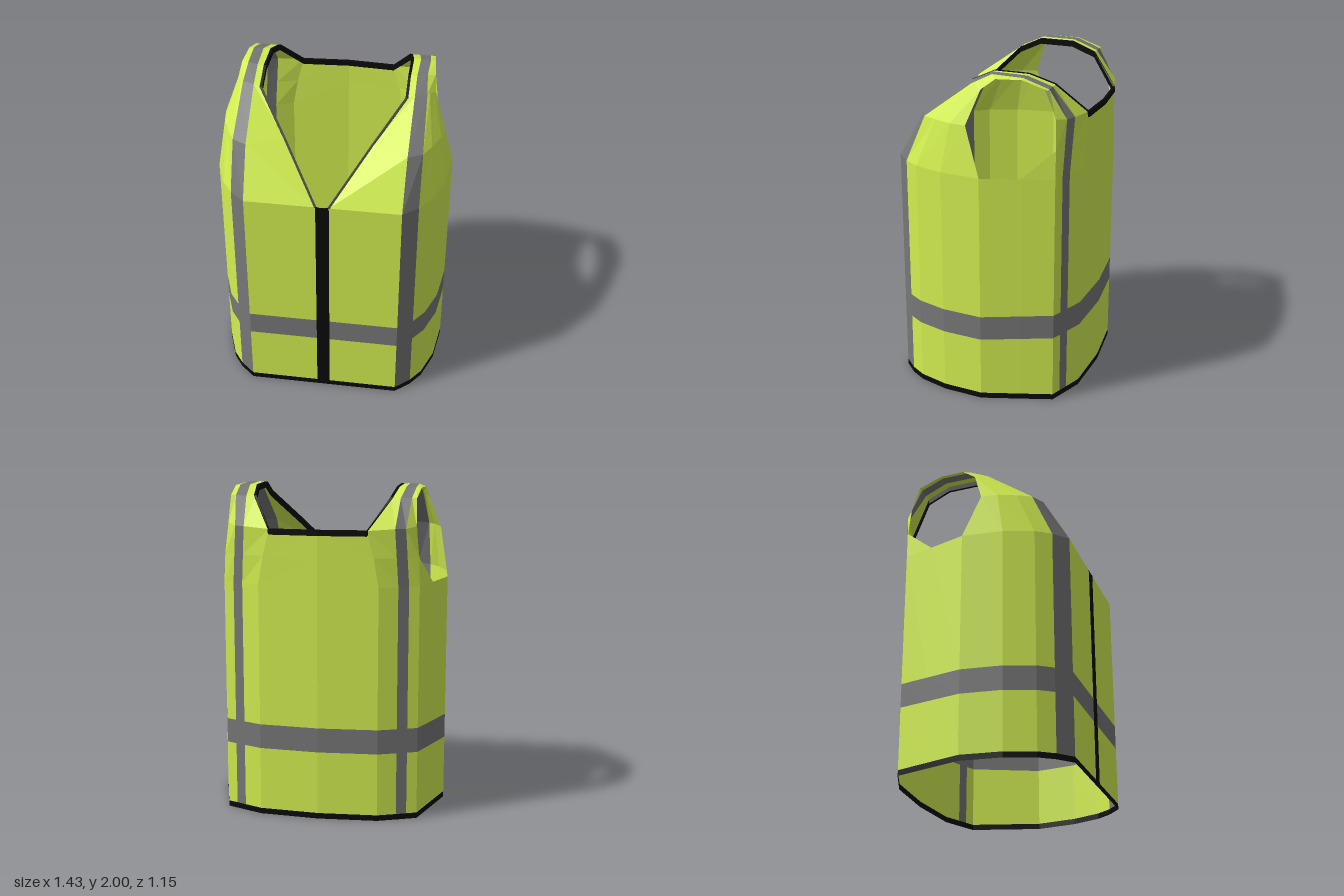
import * as THREE from 'three';

const FABRIC = 0xd2ef50, TAPE = 0x777777, BLACK = 0x0a0a0a;

// Lofts rows of [x, y, z] points into one surface on the left side and its mirror on the right.
// Columns run left to right and rows upward, as seen from outside.
function addSkin(group, name, rows, color) {
  const pos = [];
  const tri = (a, b, c) => {
    pos.push(...a, ...b, ...c);
    for (const [x, y, z] of [a, c, b]) pos.push(-x, y, z);
  };
  for (let r = 0; r < rows.length - 1; r++) {
    for (let c = 0; c < rows[r].length - 1; c++) {
      const a = rows[r][c], b = rows[r][c + 1], d = rows[r + 1][c], e = rows[r + 1][c + 1];
      tri(a, b, e);
      tri(a, e, d);
    }
  }
  const geometry = new THREE.BufferGeometry();
  geometry.setAttribute('position', new THREE.Float32BufferAttribute(pos, 3));
  geometry.computeVertexNormals();
  const material = new THREE.MeshStandardMaterial({ color, flatShading: true, side: THREE.DoubleSide });
  const mesh = new THREE.Mesh(geometry, material);
  mesh.name = name;
  group.add(mesh);
}

// Turns paths (columns) into rows of points
const across = (...paths) => paths[0].map((_, i) => paths.map((p) => p[i]));

export function createModel() {
  const vest = new THREE.Group();
  vest.name = 'safetyVest';

  // Plan outline [x, z] of the left half, from front centre to back centre
  const plan = [
    [0, 0.57], [0.04, 0.57], [0.465, 0.57], [0.555, 0.49], [0.62, 0.4], [0.685, 0.22], [0.715, -0.03],
    [0.647, -0.26], [0.59, -0.45], [0.53, -0.475], [0.47, -0.5], [0.36, -0.545], [0, -0.57],
  ];
  // The waist tape rises a little towards the back
  const lift = ([, z]) => 0.02 * THREE.MathUtils.clamp((-0.03 - z) / 0.42, 0, 1);
  const level = (y, from, to, rising) =>
    plan.slice(from, to + 1).map((p) => [p[0], y + (rising ? lift(p) : 0), p[1]]);

  // Body: hem, lower panels, waist tape and upper panels, split by zip and vertical tapes
  const last = plan.length - 1;
  addSkin(vest, 'hem', [level(0, 0, last), level(0.035, 0, last)], BLACK);
  const sections = [
    ['zip', 0, 1, BLACK], ['frontPanel', 1, 2, FABRIC], ['frontTape', 2, 3, TAPE],
    ['sidePanel', 3, 9, FABRIC], ['backTape', 9, 10, TAPE], ['backPanel', 10, last, FABRIC],
  ];
  for (const [name, from, to, color] of sections) {
    const bandBottom = level(0.4, from, to, true), bandTop = level(0.55, from, to, true);
    addSkin(vest, name + 'Lower', [level(0.035, from, to), bandBottom], color);
    addSkin(vest, name + 'Waist', [bandBottom, bandTop], name === 'zip' ? BLACK : TAPE);
    addSkin(vest, name + 'Upper', [bandTop, level(1.43, from, to)], color);
  }

  // Paths over the shoulder, from the front chest to the back
  const neck = [
    [0.04, 1.43, 0.57], [0.26, 1.72, 0.31], [0.43, 1.93, 0.11], [0.43, 1.996, -0.03], [0.43, 1.993, -0.24],
    [0.41, 1.94, -0.39], [0.29, 1.76, -0.552], [0.33, 1.6, -0.548], [0.36, 1.43, -0.545],
  ];
  const tapeInner = [
    [0.465, 1.43, 0.57], [0.47, 1.72, 0.41], [0.475, 1.94, 0.1], [0.475, 2, -0.03], [0.48, 1.995, -0.24],
    [0.465, 1.94, -0.39], [0.45, 1.77, -0.52], [0.46, 1.6, -0.51], [0.47, 1.43, -0.5],
  ];
  const tapeOuter = [
    [0.555, 1.43, 0.49], [0.555, 1.72, 0.365], [0.545, 1.94, 0.07], [0.535, 2, -0.05], [0.54, 1.995, -0.24],
    [0.53, 1.94, -0.39], [0.51, 1.77, -0.49], [0.52, 1.6, -0.483], [0.53, 1.43, -0.475],
  ];
  const armEdge = [
    [0.59, 1.92, 0], [0.58, 1.985, -0.085], [0.57, 1.99, -0.24],
    [0.56, 1.94, -0.39], [0.565, 1.78, -0.44], [0.585, 1.6, -0.45], [0.59, 1.43, -0.45],
  ];
  addSkin(vest, 'shoulderInner', across(neck, tapeInner), FABRIC);
  addSkin(vest, 'shoulderTape', across(tapeInner, tapeOuter), TAPE);
  addSkin(vest, 'shoulderOuter', across(tapeOuter.slice(2), armEdge), FABRIC);

  // Chest side in front of the armhole
  addSkin(vest, 'chestSide', [
    level(1.43, 3, 6),
    [tapeOuter[1], [0.6, 1.72, 0.28], [0.645, 1.72, 0.17], [0.66, 1.72, 0.07]],
    [tapeOuter[2], [0.56, 1.94, 0.05], [0.575, 1.93, 0.025], armEdge[0]],
  ], FABRIC);

  // Gusset behind the armhole and upper back below the neckline
  addSkin(vest, 'armholeGusset', [[[0.647, 1.43, -0.26], armEdge[6]], [armEdge[5], armEdge[5]]], FABRIC);
  addSkin(vest, 'upperBack', [8, 7, 6].map((i) => [neck[i], [0, neck[i][1], -0.57]]), FABRIC);

  // Black binding: a thin rectangular section swept along the neckline
  const edge = [[0, 1.425, 0.57], ...neck.slice(0, 7), [0, 1.76, -0.57]];
  const binding = edge.map(([x, y, z], i) => {
    const back = i >= edge.length - 2;
    const ox = back || i === 0 ? 0 : 0.008, oz = back ? -0.008 : 0;
    const top = y + 0.003, bottom = y - 0.032;
    return [
      [x - ox, top, z - oz], [x + ox, top, z + oz], [x + ox, bottom, z + oz],
      [x - ox, bottom, z - oz], [x - ox, top, z - oz],
    ];
  });
  addSkin(vest, 'neckBinding', binding, BLACK);

  return vest;
}
